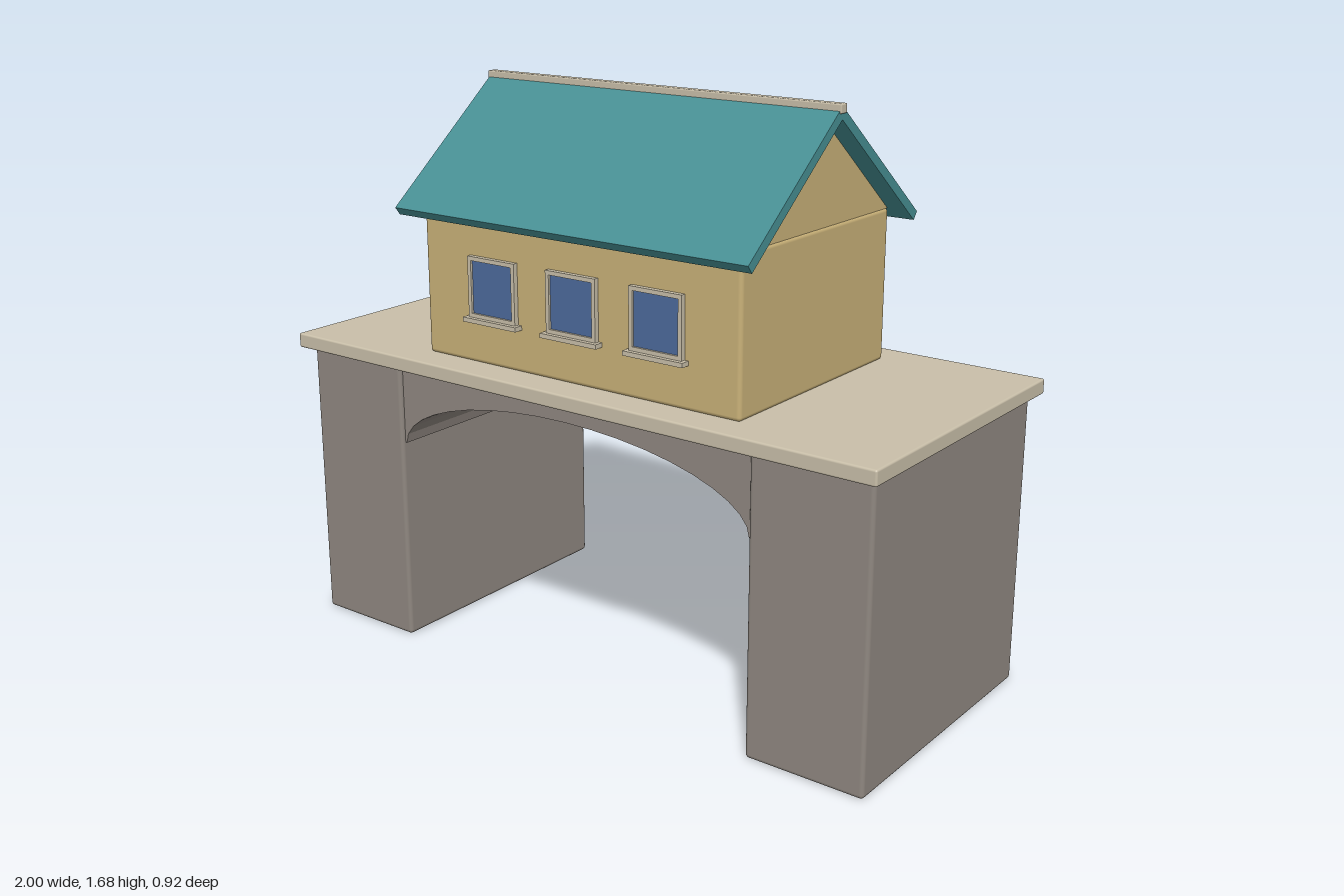
import * as THREE from 'three';
import { RoundedBoxGeometry } from 'three/addons/geometries/RoundedBoxGeometry.js';

const mat = (name, color) => {
  const m = new THREE.MeshStandardMaterial({ color });
  m.name = name;
  return m;
};

export function createModel() {
  const stone = mat('stone', 0x8f8780);
  const trim = mat('pale trim', 0xc9bfa9);
  const plaster = mat('plaster', 0xc9b178);
  const teal = mat('teal roof', 0x478f93);
  const glass = mat('window glass', 0x4c6a9c);
  const red = mat('red shutter', 0xb05048);
  const dark = mat('dark metal', 0x4a4440);

  const model = new THREE.Group();
  model.name = 'bridgeHouse';

  const add = (parent, name, geometry, material, x = 0, y = 0, z = 0) => {
    const mesh = new THREE.Mesh(geometry, material);
    mesh.name = name;
    mesh.position.set(x, y, z);
    parent.add(mesh);
    return mesh;
  };
  const box = (parent, name, material, w, h, d, x, y, z) =>
    add(parent, name, new THREE.BoxGeometry(w, h, d), material, x, y, z);
  const softBox = (parent, name, material, w, h, d, x, y, z, r = 0.012) =>
    add(parent, name, new RoundedBoxGeometry(w, h, d, 2, r), material, x, y, z);

  // Bridge: two piers, arched infill and deck
  for (const s of [-1, 1]) softBox(model, 'pier', stone, 0.36, 0.86, 0.845, s * 0.795, 0.43, 0);

  const arch = new THREE.Shape();
  arch.moveTo(-0.62, 0.862);
  arch.lineTo(-0.62, 0.62);
  const steps = 20;
  for (let i = 0; i <= steps; i++) {
    const a = Math.PI * (1 - i / steps);
    arch.lineTo(0.61 * Math.cos(a), 0.62 + 0.187 * Math.sin(a));
  }
  arch.lineTo(0.62, 0.62);
  arch.lineTo(0.62, 0.862);
  arch.closePath();
  add(model, 'archSpan', new THREE.ExtrudeGeometry(arch, { depth: 0.82, bevelEnabled: false }), stone, 0, 0, -0.41);
  softBox(model, 'deck', trim, 2, 0.044, 0.922, 0, 0.882, 0, 0.006);

  // House walls and gables
  const house = new THREE.Group();
  house.name = 'house';
  model.add(house);
  softBox(house, 'walls', plaster, 1.09, 0.442, 0.726, 0, 1.123, 0);
  const gable = new THREE.Shape();
  gable.moveTo(-0.36, 1.342);
  gable.lineTo(0.36, 1.342);
  gable.lineTo(0, 1.636);
  gable.closePath();
  const gableGeo = new THREE.ExtrudeGeometry(gable, { depth: 1.084, bevelEnabled: false });
  gableGeo.translate(0, 0, -0.542).rotateY(Math.PI / 2);
  add(house, 'gables', gableGeo, plaster);

  // Roof: one sloped slab per side, capped by a ridge beam
  for (const s of [-1, 1]) {
    const slab = new THREE.Shape();
    slab.moveTo(0, 1.635);
    slab.lineTo(s * 0.405, 1.308);
    slab.lineTo(s * 0.422, 1.33);
    slab.lineTo(0, 1.67);
    slab.closePath();
    const geo = new THREE.ExtrudeGeometry(slab, { depth: 1.204, bevelEnabled: false });
    geo.translate(0, 0, -0.602).rotateY(-Math.PI / 2);
    add(house, 'roofSlab', geo, teal);
  }
  softBox(house, 'ridge', trim, 1.214, 0.026, 0.03, 0, 1.664, 0, 0.004);

  // Window facing +z; the fancy kind has glazing bars and shutters
  const makeWindow = (fancy) => {
    const g = new THREE.Group();
    g.name = fancy ? 'shutteredWindow' : 'plainWindow';
    for (const s of [-1, 1]) {
      box(g, 'frameSide', trim, 0.012, 0.176, 0.02, s * 0.08, 0, 0.005);
      box(g, 'frameRail', trim, 0.148, 0.012, 0.02, 0, s * 0.082, 0.005);
    }
    box(g, 'pane', glass, 0.15, 0.156, 0.008, 0, 0, 0.004);
    box(g, 'sill', trim, 0.196, 0.013, 0.032, 0, -0.094, 0.012);
    if (fancy) {
      box(g, 'glazingBarUpright', trim, 0.01, 0.154, 0.008, 0, 0, 0.008);
      box(g, 'glazingBarCross', trim, 0.15, 0.01, 0.008, 0, 0, 0.008);
      for (const s of [-1, 1]) box(g, 'shutter', red, 0.048, 0.17, 0.016, s * 0.11, 0, 0.007);
    }
    return g;
  };
  for (const x of [-0.285, 0, 0.285]) {
    const front = makeWindow(false);
    front.position.set(x, 1.126, 0.363);
    const back = makeWindow(true);
    back.position.set(x, 1.126, -0.363);
    back.rotation.y = Math.PI;
    house.add(front, back);
  }

  // Door in the right end wall
  const door = new THREE.Group();
  door.name = 'door';
  door.position.set(-0.545, 0.904, 0);
  house.add(door);
  for (const s of [-1, 1]) box(door, 'doorJamb', trim, 0.024, 0.262, 0.01, -0.002, 0.131, s * 0.08);
  box(door, 'doorHead', trim, 0.024, 0.01, 0.15, -0.002, 0.257, 0);
  box(door, 'doorLeaf', stone, 0.018, 0.252, 0.15, -0.002, 0.126, 0);
  add(door, 'doorKnob', new THREE.SphereGeometry(0.008, 12, 8), dark, -0.016, 0.122, -0.052);

  return model;
}
